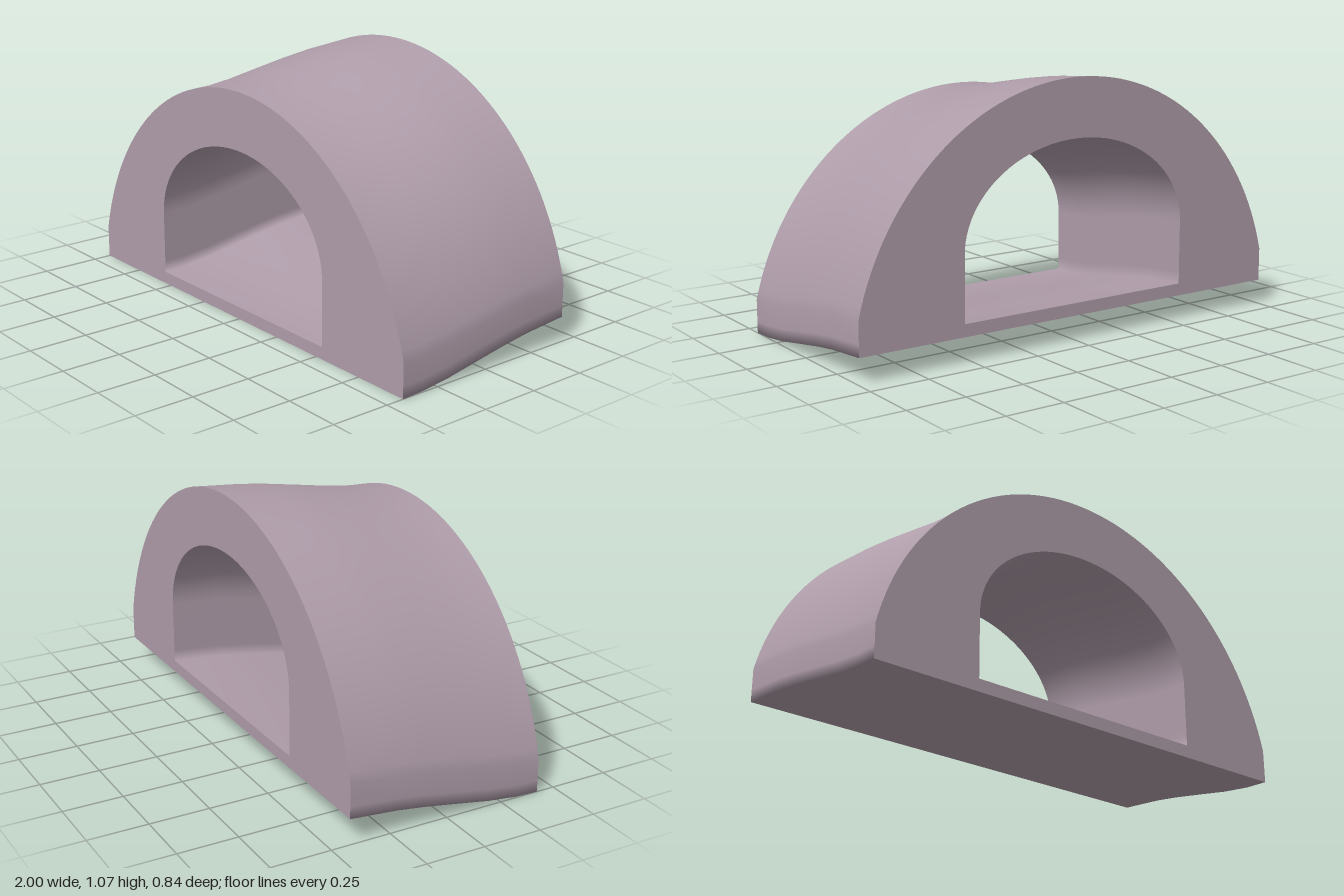
import * as THREE from 'three';

// height of the passage floor line along its length (z, rise)
const RISE = [[0.422, 0], [0.32, 0.004], [0.19, 0.02], [0.05, 0.045], [-0.1, 0.071], [-0.22, 0.088], [-0.422, 0.106]];

// arch outline, counter-clockwise: flat floor, short walls, elliptical top.
// The ellipse centre may lie below the wall tops, so the arch springs at an angle.
function archOutline(halfWidth, floor, wallTop, crown, centre, segments) {
  const ry = crown - centre;
  const start = Math.asin((wallTop - centre) / ry);
  const rx = halfWidth / Math.cos(start);
  const foot = floor + 0.05;
  const pts = [[-halfWidth, foot], [-halfWidth, floor], [halfWidth, floor], [halfWidth, foot]]
    .map(([x, y]) => new THREE.Vector2(x, y));
  for (let i = 0; i <= segments; i++) {
    const a = start + ((Math.PI - 2 * start) * i) / segments;
    pts.push(new THREE.Vector2(rx * Math.cos(a), centre + ry * Math.sin(a)));
  }
  return pts;
}

// skin swept through the rising sections, smooth all the way round
function sweptSkin(outline, inward) {
  const n = outline.length;
  const positions = [];
  const index = [];
  for (const [z, rise] of RISE) for (const p of outline) positions.push(p.x, p.y + rise, z);
  for (let s = 0; s < RISE.length - 1; s++) {
    for (let i = 0; i < n; i++) {
      const a = s * n + i, b = s * n + ((i + 1) % n), c = a + n, d = b + n;
      if (inward) index.push(a, b, c, b, d, c);
      else index.push(a, c, b, b, c, d);
    }
  }
  const geometry = new THREE.BufferGeometry();
  geometry.setAttribute('position', new THREE.Float32BufferAttribute(positions, 3));
  geometry.setIndex(index);
  geometry.computeVertexNormals();
  return geometry;
}

export function createModel() {
  const group = new THREE.Group();
  group.name = 'archTunnel';
  const stone = new THREE.MeshStandardMaterial({ color: 0xaf9daa });
  stone.name = 'mauve stone';

  const add = (name, geometry) => {
    const mesh = new THREE.Mesh(geometry, stone);
    mesh.name = name;
    group.add(mesh);
    return mesh;
  };

  const outer = archOutline(1, 0, 0.14, 0.962, -0.13, 64);
  const inner = archOutline(0.537, 0.052, 0.32, 0.72, 0.32, 48);

  // outside shell and passage lining
  add('outerShell', sweptSkin(outer, false));
  add('passageLining', sweptSkin(inner, true));

  // flat end faces with the arched opening
  const face = new THREE.Shape(outer);
  face.holes.push(new THREE.Path(inner));
  add('frontFace', new THREE.ShapeGeometry(face)).position.z = RISE[0][0];
  const [backZ, backRise] = RISE[RISE.length - 1];
  const back = add('backFace', new THREE.ShapeGeometry(face));
  back.rotation.y = Math.PI;
  back.position.set(0, backRise, backZ);

  return group;
}
